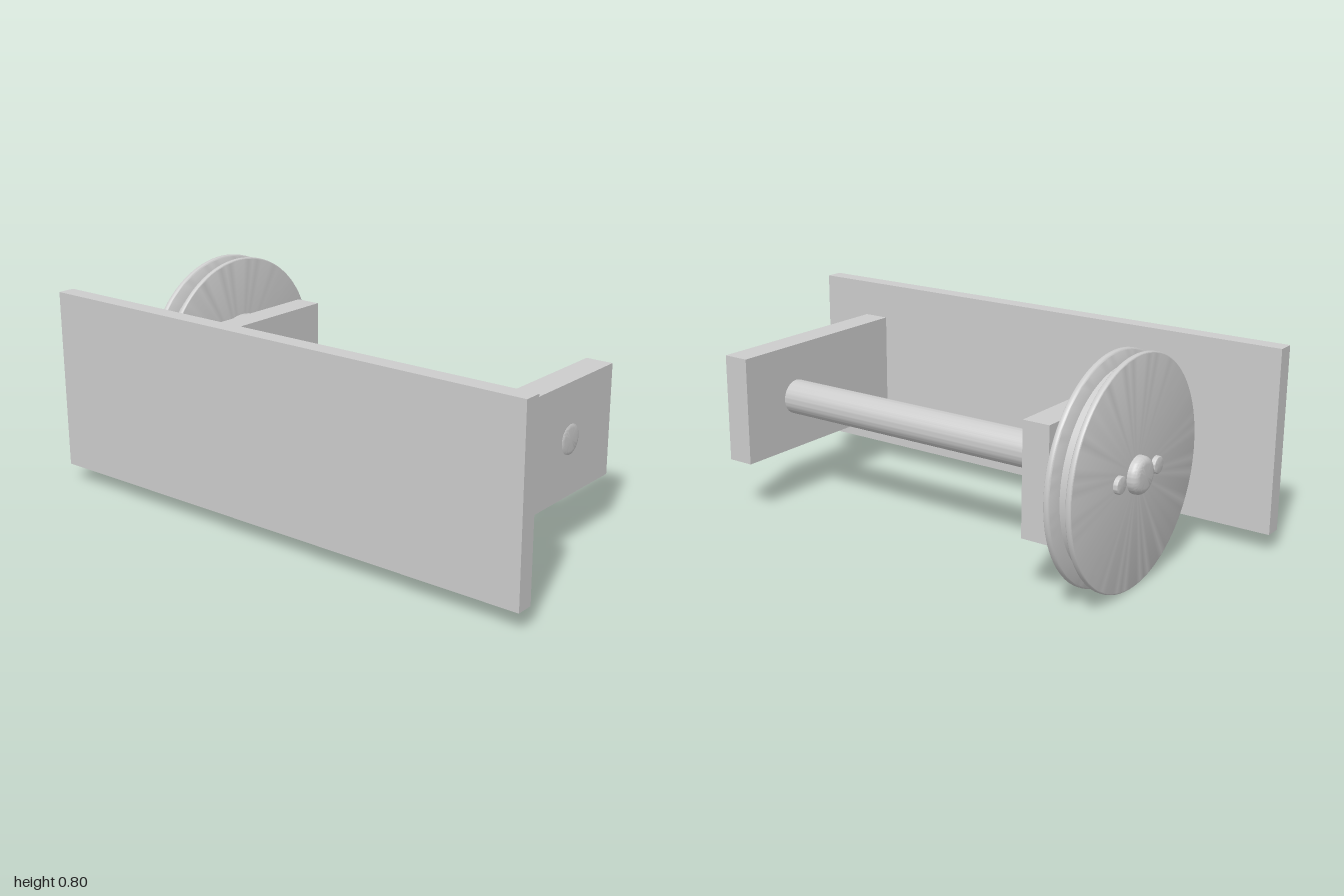
import * as THREE from 'three';
import { toCreasedNormals } from 'three/addons/utils/BufferGeometryUtils.js';

const material = new THREE.MeshStandardMaterial({ color: 0xcccccc });
const AXLE_Y = 0.4, AXLE_Z = -0.103;

// Box given by its limits on each axis
function block(name, [x0, x1], [y0, y1], [z0, z1]) {
  const mesh = new THREE.Mesh(new THREE.BoxGeometry(x1 - x0, y1 - y0, z1 - z0), material);
  mesh.position.set((x0 + x1) / 2, (y0 + y1) / 2, (z0 + z1) / 2);
  mesh.name = name;
  return mesh;
}

// Solid turned about the x axis; corners are [x, radius, fillet]
function turned(name, corners, z = AXLE_Z, segments = 96) {
  const points = [];
  corners.forEach(([x, r, fillet], i) => {
    const corner = new THREE.Vector2(r, x);
    if (!fillet) { points.push(corner); return; }
    const toward = ([nx, nr]) =>
      new THREE.Vector2(nr, nx).sub(corner).setLength(fillet).add(corner);
    const a = toward(corners[i - 1]), b = toward(corners[i + 1]);
    // Quarter-round corner between the two tangent points
    const centre = a.clone().add(b).sub(corner);
    for (let k = 0; k <= 6; k++) {
      const t = (k / 6) * Math.PI / 2;
      points.push(centre.clone()
        .addScaledVector(b.clone().sub(corner), -(1 - Math.sin(Math.PI / 2 - t)) + 1 - Math.cos(t))
        .addScaledVector(a.clone().sub(centre), Math.cos(t))
        .addScaledVector(b.clone().sub(centre), Math.sin(t))
        .addScaledVector(b.clone().sub(corner), 0));
    }
  });
  const lathe = new THREE.LatheGeometry(points, segments);
  lathe.rotateZ(-Math.PI / 2);
  const mesh = new THREE.Mesh(toCreasedNormals(lathe, 0.5), material);
  mesh.position.set(0, AXLE_Y, z);
  mesh.name = name;
  return mesh;
}

export function createModel() {
  const model = new THREE.Group();
  model.name = 'pulleyBracket';

  // Mounting plate and the two arms that carry the shaft
  model.add(block('mountingPlate', [-1, 1], [0.068, 0.735], [0.436, 0.5]));
  model.add(block('rightArm', [-0.6, -0.5], [0.2, 0.6], [-0.363, 0.436]));
  model.add(block('leftArm', [0.7, 0.8], [0.2, 0.6], [-0.363, 0.436]));

  // Shaft with rounded ends
  model.add(turned('shaft', [
    [-0.804, 0], [-0.804, 0.0645, 0.0245], [0.804, 0.0645, 0.0245], [0.804, 0],
  ], AXLE_Z, 64));

  // Grooved pulley wheel
  model.add(turned('pulleyWheel', [
    [-0.768, 0], [-0.768, 0.398, 0.006], [-0.748, 0.398, 0.006],
    [-0.735, 0.352], [-0.7, 0.352],
    [-0.688, 0.398, 0.006], [-0.668, 0.398, 0.006], [-0.668, 0],
  ]));

  // Stepped hub between the wheel and the arm
  model.add(turned('hub', [
    [-0.67, 0], [-0.67, 0.183, 0.01], [-0.611, 0.183, 0.01],
    [-0.611, 0.17], [-0.599, 0.17], [-0.599, 0],
  ]));

  // Pins on either side of the shaft end
  for (const side of [-1, 1]) {
    model.add(turned(side < 0 ? 'rearPin' : 'frontPin', [
      [-0.784, 0], [-0.784, 0.03, 0.004], [-0.74, 0.03], [-0.74, 0],
    ], AXLE_Z + side * 0.12, 32));
  }
  return model;
}
